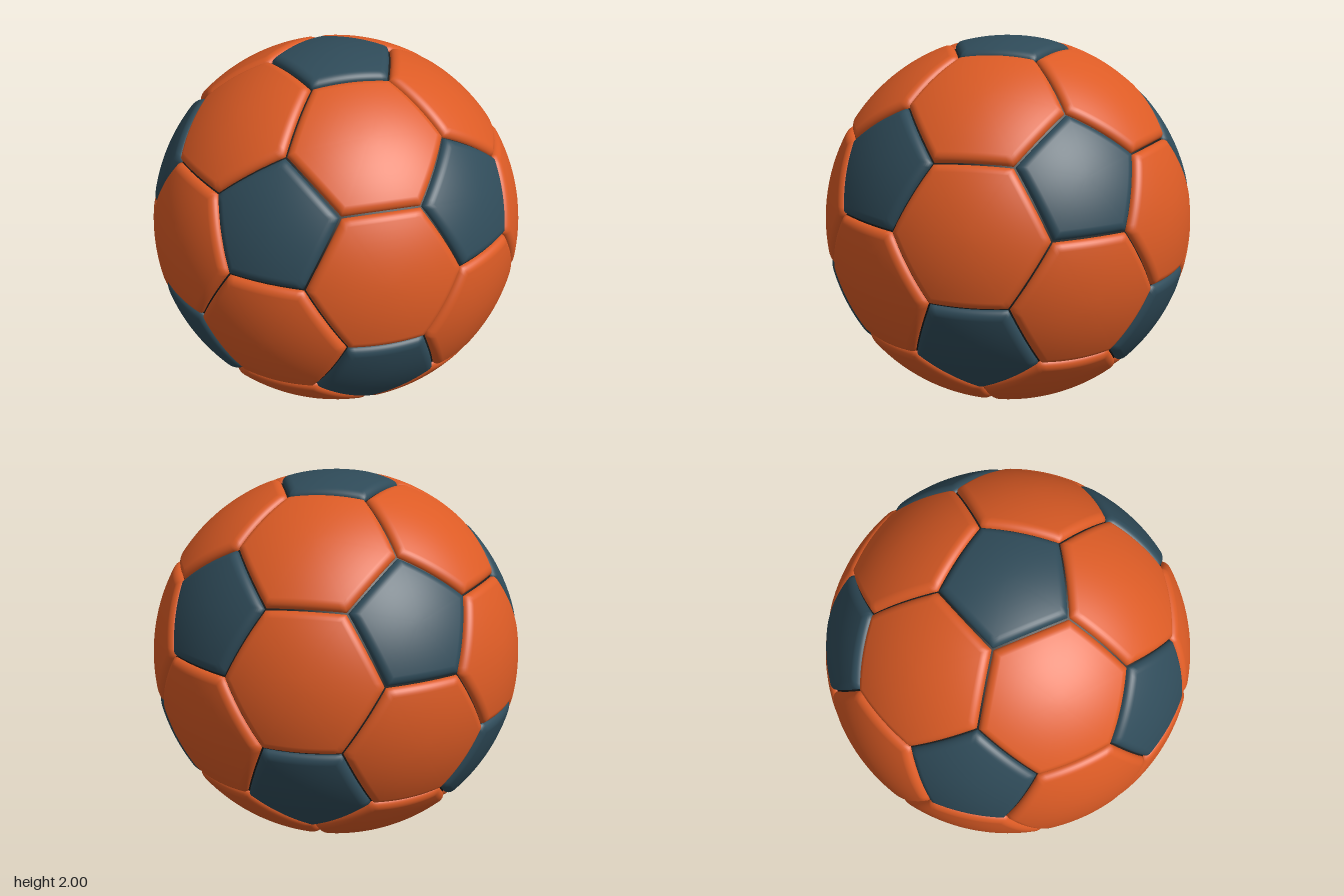
import * as THREE from 'three';

const SEAM_HALF = 0.005; // half width of the gap between panels
const BEVEL = 0.05;      // width of the rounded panel border
const DEPTH = 0.035;     // how far the border sinks
const EDGE_STEPS = 14;

// The 12 corners of an icosahedron standing on a corner.
function icosahedronPoints() {
  const points = [new THREE.Vector3(0, 1, 0), new THREE.Vector3(0, -1, 0)];
  const h = 1 / Math.sqrt(5);
  for (let i = 0; i < 5; i++) {
    for (const [y, offset] of [[h, 0], [-h, Math.PI / 5]]) {
      const a = offset + (i * Math.PI * 2) / 5;
      points.push(new THREE.Vector3(2 * h * Math.cos(a), y, 2 * h * Math.sin(a)));
    }
  }
  return points;
}

// Sort corners counter-clockwise around the outward centre direction.
function sortAround(center, corners) {
  const u = corners[0].clone().addScaledVector(center, -corners[0].dot(center)).normalize();
  const v = center.clone().cross(u);
  const angle = (p) => Math.atan2(p.dot(v), p.dot(u));
  return corners.slice().sort((p, q) => angle(p) - angle(q));
}

// A spherical polygon with a rounded, sunken border.
function panelGeometry(corners) {
  const center = corners.reduce((s, p) => s.add(p), new THREE.Vector3()).normalize();
  const ring = sortAround(center, corners);
  const border = [];
  ring.forEach((p, i) => {
    const q = ring[(i + 1) % ring.length];
    for (let k = 0; k < EDGE_STEPS; k++) border.push(p.clone().lerp(q, k / EDGE_STEPS));
  });
  const middle = ring[0].clone().add(ring[1]).multiplyScalar(0.5);
  const inradius = center.angleTo(middle);
  const hub = center.clone().multiplyScalar(center.dot(middle));

  // Ring distances from the seam: dense on the bevel, sparse inside.
  const distances = [];
  for (let k = 0; k <= 8; k++) distances.push(SEAM_HALF + BEVEL * (1 - Math.cos((k / 8) * Math.PI / 2)));
  const inner = distances[8];
  for (let k = 1; k <= 6; k++) distances.push(inner + (inradius - inner) * (k / 7));

  const positions = [], index = [], n = border.length;
  for (const d of distances) {
    const s = Math.max(0, 1 - (d - SEAM_HALF) / BEVEL);
    const radius = 1 - DEPTH * (1 - Math.sqrt(Math.max(0, 1 - s * s)));
    for (const p of border) {
      const point = p.clone().lerp(hub, d / inradius).setLength(radius);
      positions.push(point.x, point.y, point.z);
    }
  }
  positions.push(center.x, center.y, center.z);
  const rows = distances.length;
  for (let j = 0; j < n; j++) {
    const k = (j + 1) % n;
    for (let r = 0; r < rows - 1; r++) {
      const a = r * n + j, b = r * n + k;
      index.push(a, b, b + n, a, b + n, a + n);
    }
    index.push((rows - 1) * n + j, (rows - 1) * n + k, rows * n);
  }
  const geometry = new THREE.BufferGeometry();
  geometry.setAttribute('position', new THREE.Float32BufferAttribute(positions, 3));
  geometry.setIndex(index);
  geometry.computeVertexNormals();
  return geometry;
}

export function createModel() {
  const material = (name, color) => {
    const m = new THREE.MeshStandardMaterial({ color });
    m.name = name;
    return m;
  };
  const orange = material('orange', 0xdc5b25);
  const slate = material('slate', 0x2f4b59);
  const seamDark = material('seamDark', 0x1c1c1c);

  const ball = new THREE.Group();
  ball.name = 'ball';
  const add = (geometry, mat, name) => {
    const mesh = new THREE.Mesh(geometry, mat);
    mesh.name = name;
    mesh.position.y = 1;
    ball.add(mesh);
  };

  // Dark core visible in the seams
  add(new THREE.SphereGeometry(0.967, 96, 64), seamDark, 'seamCore');

  const pts = icosahedronPoints();
  const adjacent = (a, b) => a !== b && a.dot(b) > 0.4;
  const third = (a, b) => a.clone().multiplyScalar(2).add(b).divideScalar(3);

  // Pentagons sit on the corners
  pts.forEach((a, i) => {
    const corners = pts.filter((b) => adjacent(a, b)).map((b) => third(a, b));
    add(panelGeometry(corners), slate, `pentagonPanel${i + 1}`);
  });

  // Hexagons sit on the faces
  let count = 0;
  for (let i = 0; i < 12; i++) for (let j = i + 1; j < 12; j++) for (let k = j + 1; k < 12; k++) {
    const [a, b, c] = [pts[i], pts[j], pts[k]];
    if (!adjacent(a, b) || !adjacent(b, c) || !adjacent(a, c)) continue;
    const corners = [[a, b], [b, a], [b, c], [c, b], [c, a], [a, c]].map(([p, q]) => third(p, q));
    add(panelGeometry(corners), orange, `hexagonPanel${++count}`);
  }
  return ball;
}
